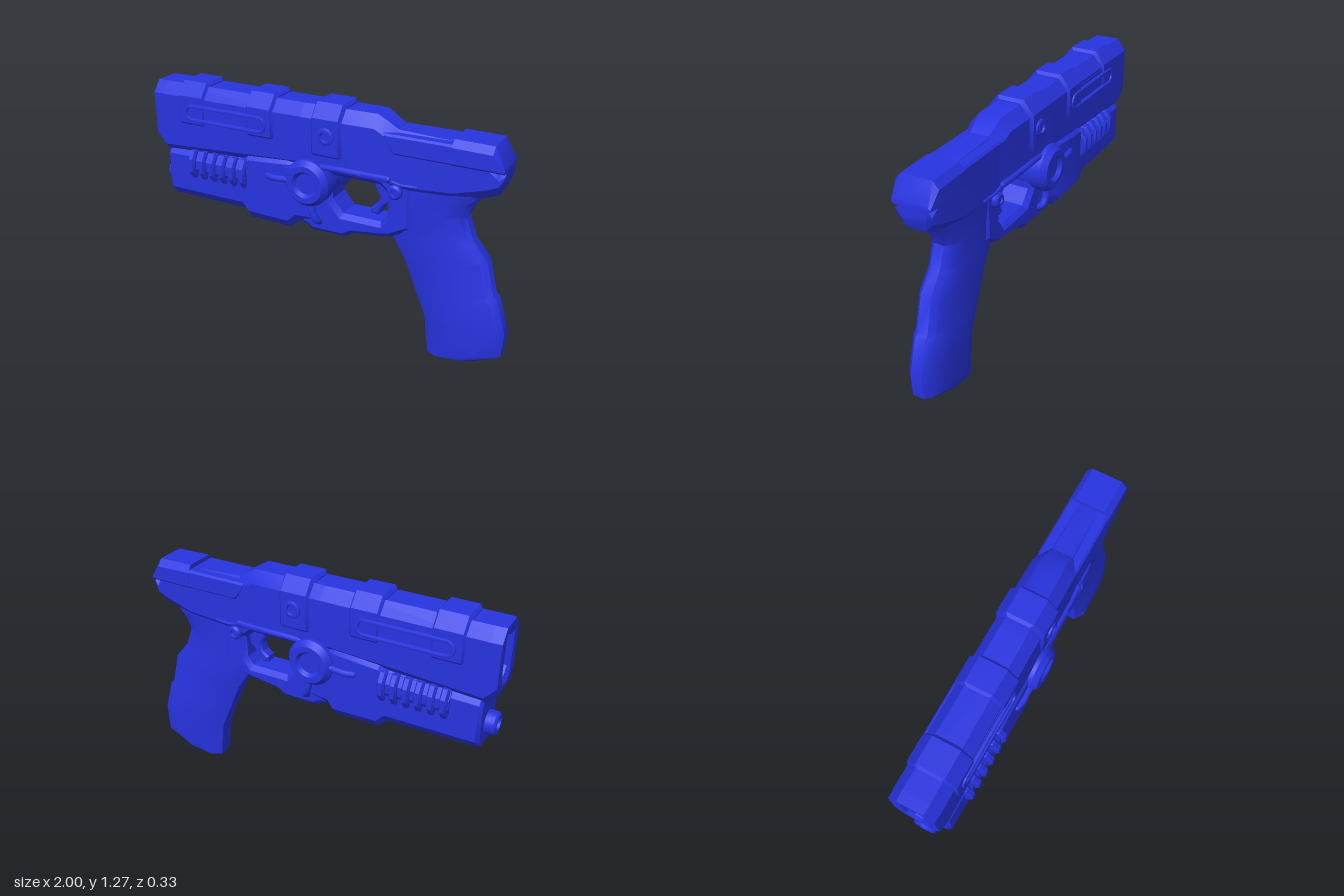
import * as THREE from 'three';
import { toCreasedNormals } from 'three/addons/utils/BufferGeometryUtils.js';

const material = new THREE.MeshStandardMaterial({ color: 0x2733e0, side: THREE.DoubleSide });

export function createModel() {
  const model = new THREE.Group();

  function add(name, geometry, crease = 0.55) {
    const mesh = new THREE.Mesh(toCreasedNormals(geometry, crease), material);
    mesh.name = name;
    model.add(mesh);
    return mesh;
  }

  // Closed skin over a row of equal-length rings, wound outwards.
  function loft(rings) {
    const n = rings[0].length, pos = [], tris = [];
    rings.forEach(r => r.forEach(p => pos.push(...p)));
    for (let i = 0; i < rings.length - 1; i++) {
      for (let j = 0; j < n; j++) {
        const a = i * n + j, b = i * n + (j + 1) % n;
        tris.push([a, b, a + n], [b, b + n, a + n]);
      }
    }
    const last = (rings.length - 1) * n;
    for (let j = 1; j < n - 1; j++) {
      tris.push([0, j + 1, j], [last, last + j, last + j + 1]);
    }
    const at = i => new THREE.Vector3().fromArray(pos, i * 3);
    const volume = tris.reduce((v, [a, b, c]) => v + at(a).dot(at(b).cross(at(c))), 0);
    const g = new THREE.BufferGeometry();
    g.setAttribute('position', new THREE.Float32BufferAttribute(pos, 3));
    g.setIndex(tris.flatMap(([a, b, c]) => (volume < 0 ? [a, c, b] : [a, b, c])));
    return g;
  }

  // Chamfered box section across x: top and bottom chamfers are [inset z, height y].
  function oct(x, y0, y1, w, top = [0.05, 0.06], bot = [0.04, 0.05]) {
    const half = [[w - bot[0], y0], [w, y0 + bot[1]], [w, y1 - top[1]], [w - top[0], y1]];
    return [...half.map(([z, y]) => [x, y, z]), ...half.reverse().map(([z, y]) => [x, y, -z])];
  }

  // Side profile extruded symmetrically to half-thickness w.
  function plate(points, w, bevel, hole) {
    const toVec = list => list.map(([x, y]) => new THREE.Vector2(x, y));
    const shape = new THREE.Shape(toVec(points));
    if (hole) shape.holes.push(new THREE.Path(toVec(hole)));
    const depth = 2 * (w - bevel);
    return new THREE.ExtrudeGeometry(shape, {
      depth, bevelEnabled: bevel > 0, bevelSize: bevel, bevelThickness: bevel,
      bevelOffset: -bevel, bevelSegments: 1,
    }).translate(0, 0, -depth / 2);
  }

  // Upper barrel, with a tall slot sunk into the muzzle
  const slot = (x, w) => oct(x, 1.1 - w * 2.4, 1.1 + w * 2.4, w, [0.03, 0.04], [0.03, 0.04]);
  add('upperBarrel', loft([
    slot(-0.9, 0.045), slot(-0.985, 0.05), slot(-1, 0.06),
    oct(-1, 0.93, 1.265, 0.115), oct(-0.945, 0.87, 1.265, 0.118),
    oct(-0.1, 0.92, 1.265, 0.115), oct(0.3, 0.92, 1.265, 0.11), oct(0.4, 0.92, 1.205, 0.1),
  ]));

  // Rear receiver and its cover
  add('rearReceiver', loft([
    oct(0.3, 0.92, 1.22, 0.1), oct(0.42, 0.88, 1.2, 0.1), oct(0.7, 0.9, 1.19, 0.1),
    oct(0.87, 0.95, 1.15, 0.095), oct(0.915, 0.97, 1.11, 0.09), oct(0.94, 1.03, 1.09, 0.08, [0.02, 0.02], [0.03, 0.03]),
  ]));
  add('rearSidePlates', plate([[0.345, 1.165], [0.4, 1.09], [0.75, 1.09], [0.75, 1.19], [0.345, 1.19]], 0.108, 0.01));
  const capTop = [0.03, 0.035], capBottom = [0.01, 0.01];
  add('rearCap', loft([
    oct(0.69, 1.09, 1.213, 0.11, capTop, capBottom), oct(0.885, 1.09, 1.21, 0.11, capTop, capBottom),
    oct(0.94, 1.085, 1.11, 0.1, [0.01, 0.01], [0.01, 0.01]),
  ]));

  // Three straps over the barrel
  [[-0.84, -0.67, 1.06], [-0.42, -0.255, 1.06], [-0.04, 0.13, 1.02]].forEach(([a, b, y], i) => {
    const strap = (x, d) => oct(x, y, 1.285 - d, 0.127 - d, [0.055, 0.07], [0.008, 0.01]);
    add('barrelStrap' + (i + 1), loft([strap(a, 0.015), strap(a + 0.015, 0), strap(b - 0.015, 0), strap(b, 0.015)]));
  });

  // Lower fore body
  add('lowerBody', loft([
    oct(-0.945, 0.625, 0.92, 0.1), oct(-0.93, 0.62, 0.93, 0.115), oct(-0.46, 0.62, 0.94, 0.118),
    oct(-0.42, 0.58, 0.98, 0.125), oct(-0.18, 0.575, 1.0, 0.125),
    oct(-0.14, 0.61, 1.0, 0.11), oct(0.0, 0.61, 0.98, 0.09),
  ]));

  // Hollow nozzle below the muzzle
  const nozzle = [[0, 0.03], [0.035, 0.03], [0.035, 0.1], [0.05, 0.1], [0.06, 0.09], [0.06, 0]];
  add('lowerNozzle', new THREE.LatheGeometry(nozzle.map(p => new THREE.Vector2(...p)).reverse(), 20)
    .rotateZ(Math.PI / 2).translate(-0.9, 0.73, 0));

  // Ribbed block passing through the lower body
  const rib = (x, w, d) => oct(x, 0.755 + d, 0.915 - d, w, [0.03, 0.045], [0.03, 0.045]);
  add('ribCore', loft([rib(-0.79, 0.132, 0.01), rib(-0.43, 0.132, 0.01)]));
  for (let i = 0; i < 6; i++) {
    const x = -0.765 + i * 0.064;
    add('rib' + (i + 1), loft([rib(x - 0.02, 0.14, 0.006), rib(x - 0.011, 0.152, 0), rib(x + 0.011, 0.152, 0), rib(x + 0.02, 0.14, 0.006)]));
  }

  // Trigger frame with its opening
  add('triggerFrame', plate(
    [[-0.12, 0.61], [-0.08, 0.6], [-0.06, 0.58], [0.13, 0.58], [0.18, 0.61], [0.34, 0.63], [0.39, 0.64],
      [0.5, 0.7], [0.5, 1.0], [-0.12, 1.0]], 0.09, 0.025,
    [[0.06, 0.78], [0.12, 0.71], [0.33, 0.71], [0.365, 0.75], [0.37, 0.87], [0.32, 0.91], [0.06, 0.91]]));

  // Curved trigger
  add('trigger', plate([[0.265, 0.91], [0.28, 0.87], [0.305, 0.825], [0.295, 0.785], [0.26, 0.76], [0.26, 0.73],
    [0.3, 0.725], [0.33, 0.78], [0.37, 0.81], [0.39, 0.92]], 0.035, 0.01));

  // Grip: front point, back point, half-width at each level
  const grip = [
    [0.4, 0.97, 0.87, 0.97, 0.085], [0.39, 0.88, 0.79, 0.88, 0.085], [0.385, 0.78, 0.76, 0.81, 0.078],
    [0.375, 0.65, 0.8, 0.7, 0.076], [0.46, 0.51, 0.88, 0.6, 0.08], [0.525, 0.35, 0.925, 0.42, 0.08],
    [0.53, 0.34, 0.945, 0.4, 0.082], [0.58, 0.22, 0.998, 0.22, 0.082], [0.598, 0.07, 0.99, 0.09, 0.082],
    [0.605, 0.01, 0.88, 0.04, 0.075],
  ];
  add('grip', loft(grip.map(([fx, fy, bx, by, w]) => {
    const half = [[0, 0.5], [0.2, 1], [0.72, 1], [0.93, 0.7], [1, 0.35]];
    const point = ([t, k], s) => [fx + (bx - fx) * t, fy + (by - fy) * t, s * k * w];
    return [...half.map(p => point(p, 1)), ...half.reverse().map(p => point(p, -1))];
  })));

  // Details repeated on both sides
  for (const s of [1, -1]) {
    const side = s > 0 ? 'Front' : 'Back';
    const turned = (name, x, y, profile) => add(name + side,
      new THREE.LatheGeometry(profile.map(p => new THREE.Vector2(...p)), 28)
        .rotateX(s * Math.PI / 2).translate(x, y, 0));
    const pipe = (name, r, points) => {
      const path = points.map(([x, y, z]) => new THREE.Vector3(x, y, z * s));
      add(name + side, new THREE.TubeGeometry(new THREE.CatmullRomCurve3(path), 24, r, 10), 1);
      [path[0], path[path.length - 1]].forEach(p =>
        add(name + 'End' + side, new THREE.SphereGeometry(r, 10, 8).translate(p.x, p.y, p.z), 1));
    };

    // Round hub, small knobs
    turned('hub', -0.055, 0.865, [[0.125, 0], [0.125, 0.135], [0.1, 0.165], [0.07, 0.165], [0.055, 0.145], [0, 0.145]]);
    turned('strapKnob', 0.05, 1.13, [[0.045, 0.1], [0.045, 0.135], [0.035, 0.14], [0.027, 0.14], [0.022, 0.13], [0, 0.13]]);
    turned('pivotKnob', 0.415, 0.9, [[0.038, 0.07], [0.038, 0.11], [0.028, 0.12], [0.018, 0.12], [0.014, 0.112], [0, 0.112]]);

    // Levers and linkage rod
    pipe('foreLever', 0.017, [[-0.29, 0.86, 0.125], [-0.25, 0.86, 0.135], [-0.17, 0.865, 0.135]]);
    pipe('lowerLever', 0.02, [[-0.04, 0.76, 0.12], [-0.03, 0.7, 0.12], [-0.012, 0.66, 0.11], [-0.01, 0.645, 0.085]]);
    pipe('linkageRod', 0.016, [[0.02, 0.96, 0.11], [0.12, 0.965, 0.115], [0.25, 0.965, 0.115], [0.38, 0.965, 0.11]]);
    pipe('thinRod', 0.008, [[0.38, 0.96, 0.105], [0.44, 0.945, 0.105], [0.53, 0.945, 0.1]]);

    // Long side panel with a raised stadium rim
    add('sidePanel' + side, new THREE.BoxGeometry(0.54, 0.125, 0.02).translate(-0.55, 1.128, s * 0.11));
    const stadium = (Kind, r) => {
      const p = new Kind();
      p.absarc(0.205, 0, r, -Math.PI / 2, Math.PI / 2, false);
      p.absarc(-0.205, 0, r, Math.PI / 2, Math.PI * 1.5, false);
      p.closePath();
      return p;
    };
    const rim = stadium(THREE.Shape, 0.048);
    rim.holes.push(stadium(THREE.Path, 0.028));
    add('stadiumRim' + side, new THREE.ExtrudeGeometry(rim, {
      depth: 0.03, bevelSize: 0.006, bevelThickness: 0.006, bevelOffset: -0.006, bevelSegments: 2, curveSegments: 10,
    }).rotateY(s > 0 ? 0 : Math.PI).translate(-0.545, 1.128, s * 0.1));
  }

  return model;
}
